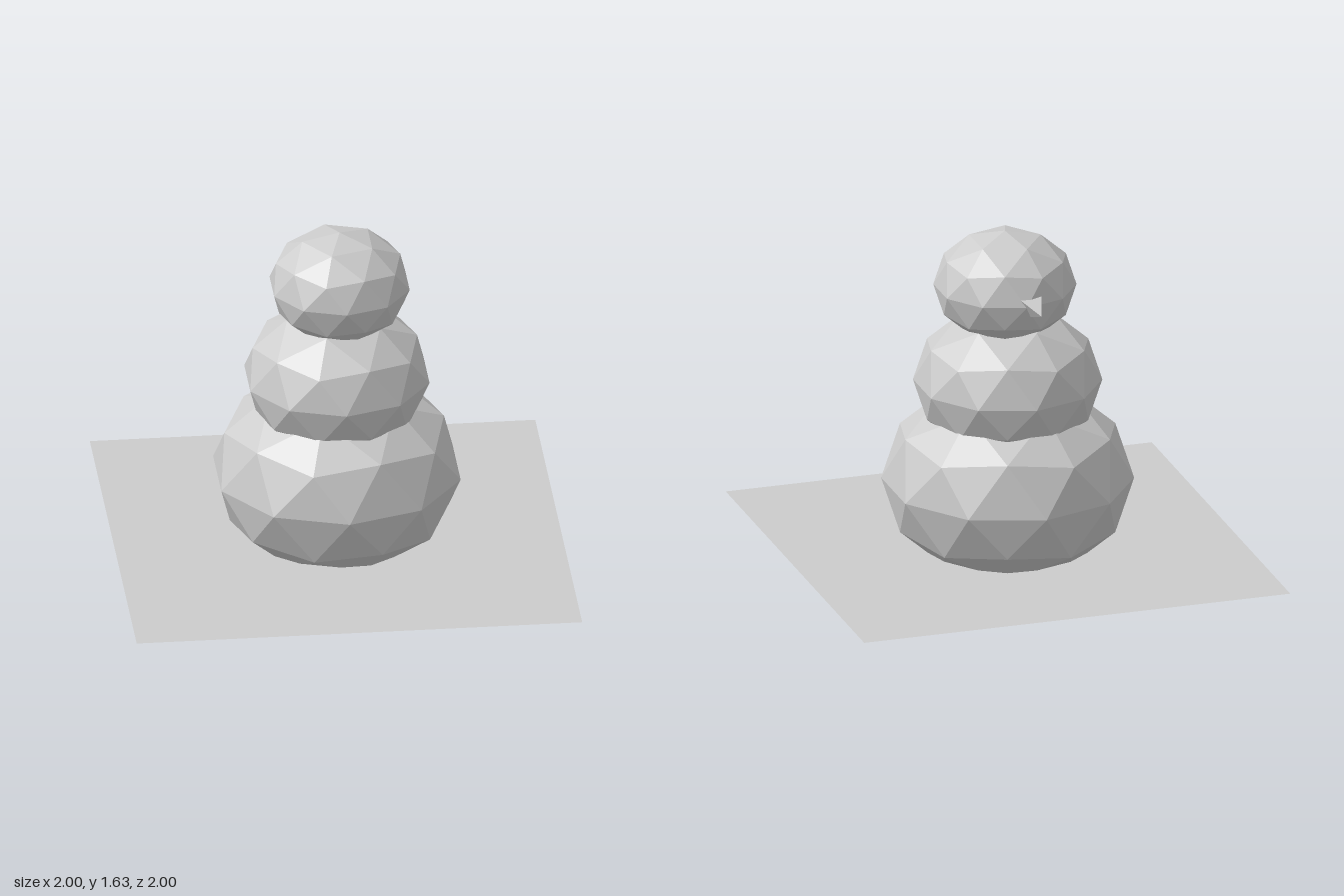
import * as THREE from 'three';

const grey = new THREE.MeshStandardMaterial({ color: 0xcccccc, flatShading: true });
const sheet = new THREE.MeshStandardMaterial({ color: 0xcccccc, side: THREE.DoubleSide });

// Faceted snowball, slightly squashed, with a corner pointing straight up
function snowball(name, radius, height, x, y, z) {
  const geometry = new THREE.IcosahedronGeometry(1, 1);
  geometry.rotateZ(Math.PI / 2 - Math.atan2((1 + Math.sqrt(5)) / 2, 1));
  geometry.scale(radius, height, radius);
  const mesh = new THREE.Mesh(geometry, grey);
  mesh.name = name;
  mesh.position.set(x, y, z);
  return mesh;
}

export function createModel() {
  const group = new THREE.Group();
  group.name = 'snowman';

  // Three stacked snowballs
  group.add(
    snowball('bottomBall', 0.565, 0.45, 0.005, 0.45, -0.01),
    snowball('middleBall', 0.423, 0.337, 0.005, 0.92, -0.01),
    snowball('head', 0.32, 0.255, 0.017, 1.375, -0.007),
  );

  // Three-sided nose pointing to -z, flat side up
  const noseGeometry = new THREE.ConeGeometry(0.066, 0.18, 3);
  noseGeometry.rotateY(Math.PI);
  noseGeometry.rotateX(-Math.PI / 2);
  const nose = new THREE.Mesh(noseGeometry, grey);
  nose.name = 'nose';
  nose.position.set(-0.007, 1.38, -0.373);
  group.add(nose);

  // Flat snow sheet that the bottom ball sinks into
  const ground = new THREE.Mesh(new THREE.PlaneGeometry(2, 2).rotateX(-Math.PI / 2), sheet);
  ground.name = 'snowSheet';
  ground.position.y = 0.135;
  group.add(ground);

  return group;
}
